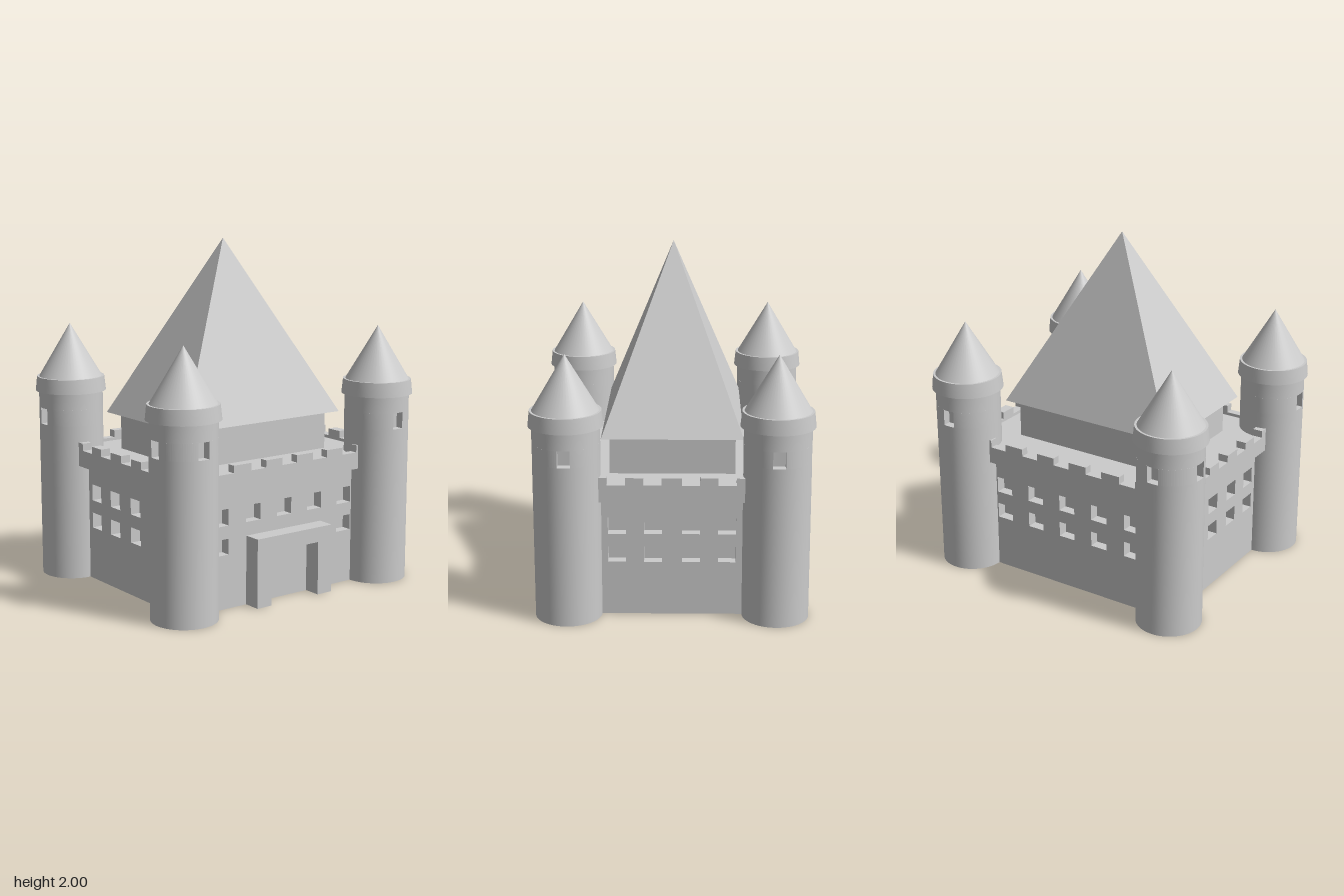
import * as THREE from 'three';
import { toCreasedNormals } from 'three/addons/utils/BufferGeometryUtils.js';

const HX = 0.69, HZ = 0.577;          // half size of the walls, also the tower centres
const FLOOR = 0.76, RECESS = 0.06;    // roof terrace height, window depth
const TOWER_R = 0.187;

const material = new THREE.MeshStandardMaterial({ color: 0xcccccc });

function add(parent, name, geometry, x = 0, y = 0, z = 0) {
  const mesh = new THREE.Mesh(toCreasedNormals(geometry, 0.5), material);
  mesh.name = name;
  mesh.position.set(x, y, z);
  parent.add(mesh);
  return mesh;
}

function polygon(points) {
  return new THREE.Shape(points.map(([x, y]) => new THREE.Vector2(x, y)));
}

function extrude(shape, depth, curveSegments = 12) {
  return new THREE.ExtrudeGeometry(shape, { depth, bevelEnabled: false, curveSegments });
}

// One side of the castle, facing +z before it is turned
function createSide(name, halfLength, distance, columns, width, parapetDepth, hasLowerWindow) {
  const side = new THREE.Group();
  side.name = name;

  // Wall panel with two rows of window openings
  const panel = polygon([[-halfLength, 0], [halfLength, 0], [halfLength, FLOOR], [-halfLength, FLOOR]]);
  const w = width / 2;
  for (const [low, high] of [[0.31, 0.4], [0.475, 0.57]]) {
    for (const c of columns) {
      if (low < 0.4 && !hasLowerWindow(c)) continue;
      panel.holes.push(new THREE.Path([
        new THREE.Vector2(c - w, low), new THREE.Vector2(c - w, high),
        new THREE.Vector2(c + w, high), new THREE.Vector2(c + w, low),
      ]));
    }
  }
  add(side, 'windowedWall', extrude(panel, RECESS), 0, 0, distance - RECESS);

  // Overhanging parapet, notched above each window column
  const outline = [[-halfLength, 0.82], [-halfLength, 0.68], [halfLength, 0.68], [halfLength, 0.82]];
  for (const c of [...columns].reverse()) {
    outline.push([c + w, 0.82], [c + w, 0.778], [c - w, 0.778], [c - w, 0.82]);
  }
  add(side, 'battlement', extrude(polygon(outline), parapetDepth), 0, 0, distance);
  return side;
}

// Round tower with windows facing +x and -z before it is turned
function createTower() {
  const tower = new THREE.Group();
  tower.name = 'cornerTower';
  const bottom = 0.915, top = 1.01, eaves = 1.105;
  const w = 0.035, inner = TOWER_R - 0.05;

  add(tower, 'towerShaft', new THREE.CylinderGeometry(TOWER_R, TOWER_R, bottom, 48), 0, bottom / 2, 0);
  add(tower, 'towerNeck', new THREE.CylinderGeometry(TOWER_R, TOWER_R, eaves - top, 48), 0, (eaves + top) / 2, 0);

  // Window storey: a round plan with two slots, extruded upwards
  const a = Math.asin(w / TOWER_R);
  const plan = new THREE.Shape();
  plan.absarc(0, 0, TOWER_R, a, Math.PI / 2 - a, false);
  plan.lineTo(w, inner);
  plan.lineTo(-w, inner);
  plan.absarc(0, 0, TOWER_R, Math.PI / 2 + a, Math.PI * 2 - a, false);
  plan.lineTo(inner, -w);
  plan.lineTo(inner, w);
  plan.closePath();
  add(tower, 'towerWindows', extrude(plan, top - bottom, 36).rotateX(-Math.PI / 2), 0, bottom, 0);

  // Flared cornice and cone roof
  const cornice = [[0, eaves], [0.206, eaves], [0.197, 1.19], [0, 1.19]];
  add(tower, 'towerCornice', new THREE.LatheGeometry(cornice.map(([x, y]) => new THREE.Vector2(x, y)), 48));
  add(tower, 'towerRoof', new THREE.ConeGeometry(0.184, 0.31, 48), 0, 1.345, 0);
  return tower;
}

export function createModel() {
  const castle = new THREE.Group();
  castle.name = 'castle';

  // Solid core behind the wall panels
  add(castle, 'castleCore', new THREE.BoxGeometry(2 * (HX - RECESS), FLOOR, 2 * (HZ - RECESS)), 0, FLOOR / 2, 0);

  // Four walls; the gate takes the place of the middle lower windows in front
  const longColumns = [-0.443, -0.22, 0, 0.22, 0.443];
  const shortColumns = [-0.305, -0.105, 0.105, 0.305];
  const always = () => true;
  const front = createSide('frontWall', HX, HZ, longColumns, 0.104, 0.048, (c) => Math.abs(c) > 0.3);
  const back = createSide('backWall', HX, HZ, longColumns, 0.104, 0.048, always);
  back.rotation.y = Math.PI;
  const left = createSide('leftWall', HZ, HX, shortColumns, 0.1, 0.06, always);
  left.rotation.y = Math.PI / 2;
  const right = createSide('rightWall', HZ, HX, shortColumns, 0.1, 0.06, always);
  right.rotation.y = -Math.PI / 2;
  castle.add(front, back, left, right);

  // Gate frame
  const gate = polygon([
    [-0.268, 0], [-0.168, 0], [-0.168, 0.31], [0.168, 0.31],
    [0.168, 0], [0.268, 0], [0.268, 0.397], [-0.268, 0.397],
  ]);
  add(castle, 'gateFrame', extrude(gate, 0.68 - HZ), 0, 0, HZ);

  // Keep with its pyramid roof
  add(castle, 'keep', new THREE.BoxGeometry(0.97, 0.98 - FLOOR, 0.706), 0, (0.98 + FLOOR) / 2, 0);
  const pyramid = new THREE.ConeGeometry(Math.SQRT2, 1.02, 4).rotateY(Math.PI / 4).scale(0.556, 1, 0.397);
  add(castle, 'keepRoof', pyramid, 0, 1.49, 0);

  // Corner towers, each a quarter turn from the last
  [[1, -1], [-1, -1], [-1, 1], [1, 1]].forEach(([sx, sz], i) => {
    const tower = createTower();
    tower.position.set(sx * HX, 0, sz * HZ);
    tower.rotation.y = i * Math.PI / 2;
    castle.add(tower);
  });

  return castle;
}
